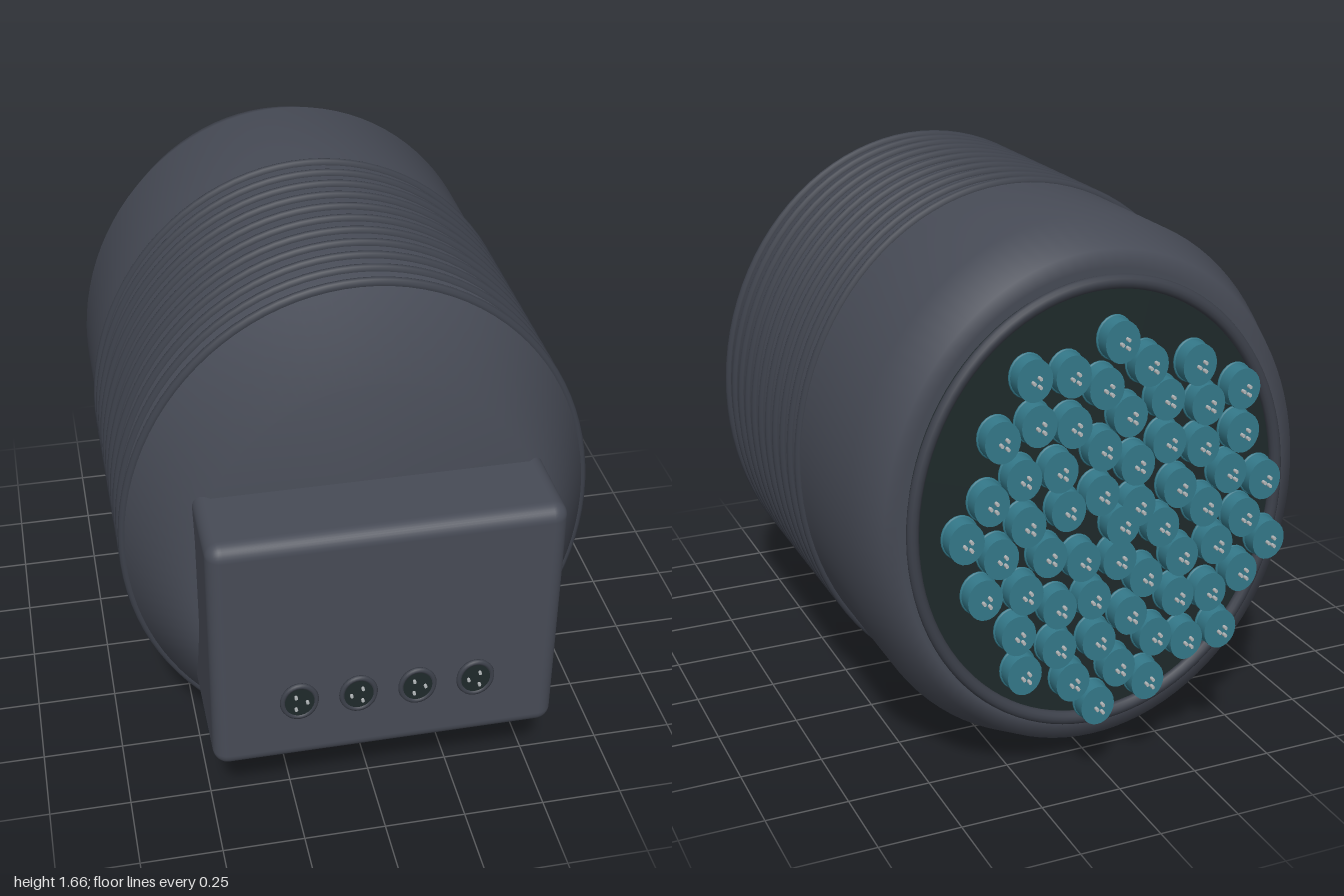
import * as THREE from 'three';
import { RoundedBoxGeometry } from 'three/addons/geometries/RoundedBoxGeometry.js';

const CY = 0.83;      // height of the long axis
const OVAL = 1.16;    // height to width ratio of every oval part

function material(name, color, extra = {}) {
  const m = new THREE.MeshStandardMaterial({ color, ...extra });
  m.name = name;
  return m;
}

export function createModel() {
  const shell = material('slate shell', 0x474b56);
  const ribMat = material('dark slate ribs', 0x3c404a);
  const dark = material('dark recess', 0x1f2a2b);
  const teal = material('teal', 0x34798a);
  const silver = material('silver pins', 0xb4b8ba);

  const model = new THREE.Group();
  model.name = 'ovalDevice';
  // everything in this group is round and gets stretched to an oval
  const oval = new THREE.Group();
  oval.name = 'ovalParts';
  oval.position.y = CY;
  oval.scale.y = OVAL;
  model.add(oval);

  function add(parent, name, geo, mat, x = 0, y = 0, z = 0) {
    const mesh = new THREE.Mesh(geo, mat);
    mesh.name = name;
    mesh.position.set(x, y, z);
    parent.add(mesh);
    return mesh;
  }
  const disc = (r, depth, sides = 32) =>
    new THREE.CylinderGeometry(r, r, depth, sides).rotateX(Math.PI / 2);

  // main body, turned around the z axis
  const profile = [[0, -0.808], [0.6, -0.808], [0.645, -0.808], [0.7, -0.655],
    [0.7, -0.3], [0.7, 0.2], [0.7, 0.55], [0.525, 0.74], [0, 0.74]]
    .map(([r, z]) => new THREE.Vector2(r, z));
  add(oval, 'body', new THREE.LatheGeometry(profile, 96).rotateX(Math.PI / 2), shell);

  // ribs around the front half
  const ribGeo = new THREE.TorusGeometry(0.7, 0.0145, 10, 96);
  for (let i = 0; i < 11; i++) add(oval, 'rib', ribGeo, ribMat, 0, 0, 0.54 - i * 0.0762);

  // back plate and its rim
  add(oval, 'backPlate', disc(0.58, 0.03, 96), dark, 0, 0, -0.815);
  add(oval, 'backRim', new THREE.TorusGeometry(0.573, 0.018, 12, 96), ribMat, 0, 0, -0.837);

  // three small contact pins in a triangle
  function addPins(parent, spread, radius, depth, z) {
    const geo = disc(radius, depth, 8);
    for (let i = 0; i < 3; i++) {
      const a = i * Math.PI * 2 / 3;
      add(parent, 'pin', geo, silver, Math.cos(a) * spread, Math.sin(a) * spread, z);
    }
  }

  // connectors on the back, laid out in a sunflower spiral
  const plugGeo = disc(0.052, 0.058, 24);
  const collarGeo = new THREE.TorusGeometry(0.051, 0.005, 8, 24);
  const golden = Math.PI * (3 - Math.sqrt(5));
  for (let n = 0; n < 60; n++) {
    const r = 0.0635 * Math.sqrt(n);
    const plug = new THREE.Group();
    plug.name = 'connector';
    plug.position.set(r * Math.cos(n * golden), r * Math.sin(n * golden), -0.946);
    add(plug, 'plug', plugGeo, teal);
    add(plug, 'collar', collarGeo, teal, 0, 0, 0.022);
    addPins(plug, 0.012, 0.005, 0.014, -0.047);
    oval.add(plug);
  }

  // control box on the front
  add(model, 'controlBox', new RoundedBoxGeometry(1.02, 0.8, 0.6, 4, 0.045), shell, 0, 0.72, 0.68);

  // sockets along the lower part of the box
  [-0.26, -0.087, 0.087, 0.26].forEach((x, i) => {
    const socket = new THREE.Group();
    socket.name = 'socket';
    socket.position.set(x, 0.55 - CY, 0.98);
    socket.position.y /= OVAL;
    add(socket, 'socketFace', disc(0.048, 0.016), dark, 0, 0, 0.002);
    add(socket, 'socketRing', new THREE.TorusGeometry(0.049, 0.008, 8, 32), ribMat, 0, 0, 0.005);
    addPins(socket, 0.022, 0.005, 0.02, 0.008);
    socket.rotation.z = i % 2 ? Math.PI : 0;
    oval.add(socket);
  });

  return model;
}
